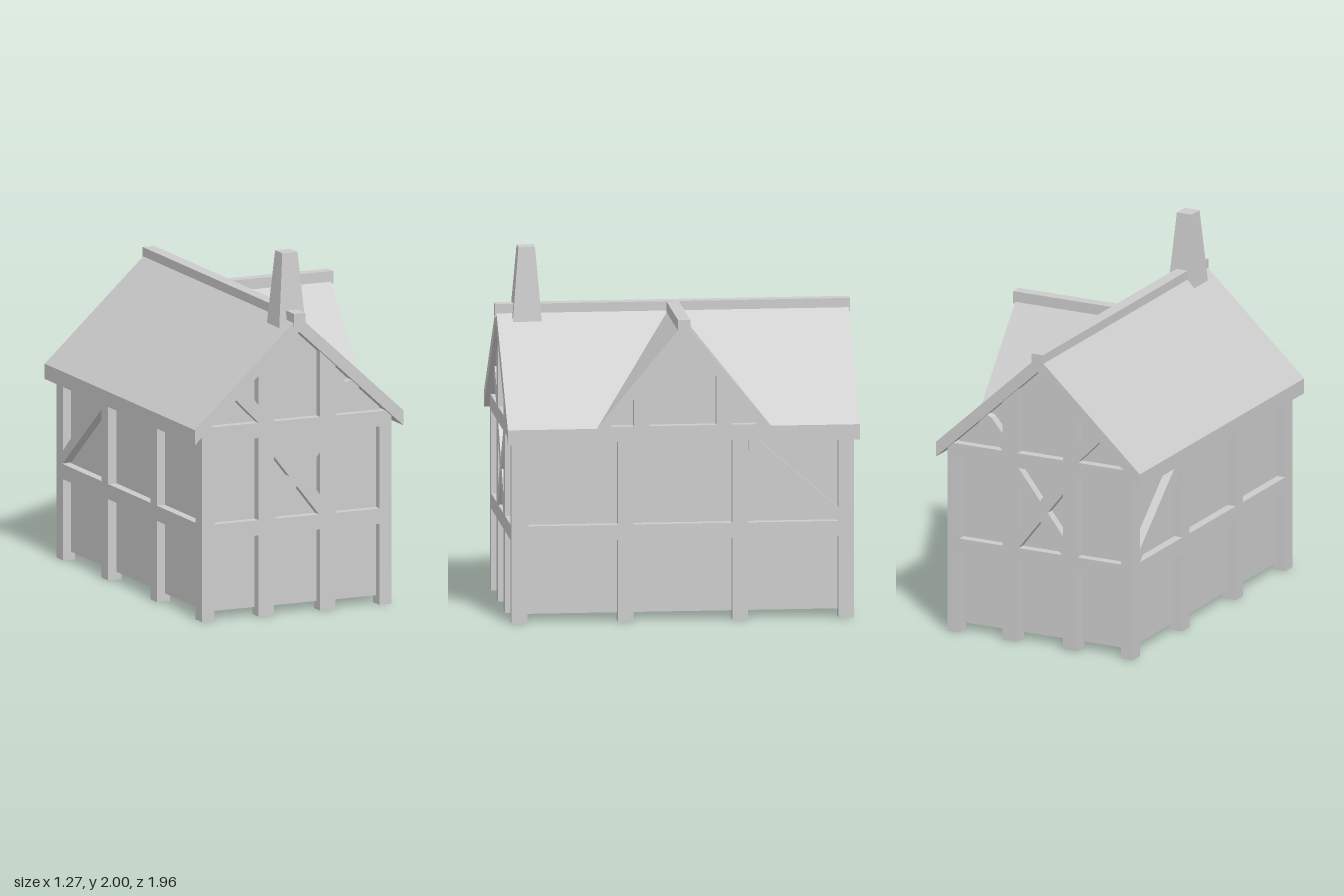
import * as THREE from 'three';

const material = new THREE.MeshStandardMaterial({ color: 0xcccccc, flatShading: true });

// Main dimensions
const HALF_W = 0.573, HALF_L = 0.943;            // outer faces of the timber frame
const INSET = 0.05, TIMBER = 0.08;               // panel recess and timber depth
const EAVE = 0.63, ROOF_L = 0.97, ROOF_T = 0.085;
const APEX = 1.58, DORMER_Z = 0.48;              // underside of the ridge, dormer half width
const SLOPE = 0.58 / EAVE, DORMER_SLOPE = 0.58 / DORMER_Z;
const RAILS = [[0.455, 0.54], [1.0, 1.085]];

function add(parent, name, geometry, x = 0, y = 0, z = 0) {
  const mesh = new THREE.Mesh(geometry, material);
  mesh.name = name;
  mesh.position.set(x, y, z);
  parent.add(mesh);
  return mesh;
}

function extrude(points, depth) {
  const shape = new THREE.Shape(points.map(([x, y]) => new THREE.Vector2(x, y)));
  return new THREE.ExtrudeGeometry(shape, { depth, bevelEnabled: false });
}

const mirror = (points, s) => points.map(([x, y]) => [x * s, y]);
const rect = (x0, x1, y0, y1) => [[x0, y0], [x1, y0], [x1, y1], [x0, y1]];

// A timber drawn flat in a wall plane, its outer face at local z = 0
const timber = (wall, name, points) => add(wall, name, extrude(points, TIMBER), 0, 0, -TIMBER);

// Rails fitted between the posts of a wall
function addRails(wall, spans) {
  for (const [y0, y1] of RAILS)
    for (const [a, b] of spans) timber(wall, 'rail', rect(a, b, y0, y1));
}

// Roof slab: plan outline (x, z) given vertical thickness, then sloped by a rule
function roofSlab(plan, drop) {
  const g = extrude(plan.map(([x, z]) => [x, -z]), ROOF_T).rotateX(-Math.PI / 2);
  const p = g.attributes.position;
  for (let i = 0; i < p.count; i++)
    p.setY(i, p.getY(i) + APEX - drop(p.getX(i), p.getZ(i)));
  g.computeVertexNormals();
  return g;
}

function gableWall() {
  const wall = new THREE.Group();
  wall.name = 'gableFrame';
  addRails(wall, [[-0.5, -0.232], [-0.14, 0.14], [0.232, 0.5]]);
  for (const s of [-1, 1]) {
    timber(wall, 'gablePost', mirror([[0.14, 0], [0.232, 0],
      [0.232, APEX + 0.01 - SLOPE * 0.232], [0.14, APEX + 0.01 - SLOPE * 0.14]], s));
    timber(wall, 'gableBrace', mirror([[0.232, 1.085], [0.38, 1.235], [0.33, 1.28],
      [0.30, 1.265], [0.232, 1.185]], s));
    timber(wall, 'crossBrace', mirror([[-0.14, 1], [-0.133, 1], [0.14, 0.651],
      [0.14, 0.54], [0.133, 0.54], [-0.14, 0.889]], s));
  }
  return wall;
}

// back is the local direction (+1 or -1) that leads to the rear corner
function sideWall(back) {
  const wall = new THREE.Group();
  wall.name = 'sideFrame';
  addRails(wall, [[-0.857, -0.357], [-0.272, 0.272], [0.357, 0.857]]);
  for (const s of [-1, 1]) timber(wall, 'sidePost', rect(s * 0.272, s * 0.357, 0, 1.085));
  timber(wall, 'sideBrace', mirror([[0.36, 1], [0.41, 1], [0.857, 0.615],
    [0.857, 0.545], [0.36, 0.94]], back));
  return wall;
}

export function createModel() {
  const model = new THREE.Group();
  model.name = 'timberFramedHouse';
  const house = new THREE.Group();
  house.name = 'house';
  house.position.x = -0.011;
  model.add(house);

  // Recessed wall panels with pointed gables
  const bw = HALF_W - INSET, bl = HALF_L - INSET;
  const shoulder = APEX + 0.02 - SLOPE * bw;
  add(house, 'wallPanels', extrude([[-bw, 0.045], [bw, 0.045], [bw, shoulder],
    [0, APEX + 0.02], [-bw, shoulder]], bl * 2), 0, 0, -bl);

  // Corner posts
  for (const sx of [-1, 1])
    for (const sz of [-1, 1])
      add(house, 'cornerPost', new THREE.BoxGeometry(0.073, 1.085, 0.086),
        sx * (HALF_W - 0.0365), 0.5425, sz * (HALF_L - 0.043));

  // Front and back frames
  for (const s of [1, -1]) {
    const gable = gableWall();
    gable.position.z = s * HALF_L;
    if (s < 0) gable.rotation.y = Math.PI;
    house.add(gable);
  }

  // Side frames
  for (const s of [1, -1]) {
    const side = sideWall(s);
    side.position.x = s * HALF_W;
    side.rotation.y = s * Math.PI / 2;
    house.add(side);
    // Dormer wall posts stand on the left side only
    if (s > 0)
      for (const m of [-1, 1])
        timber(side, 'dormerPost', mirror([[0.185, 1.085], [0.27, 1.085],
          [0.27, APEX + 0.01 - DORMER_SLOPE * 0.27],
          [0.185, APEX + 0.01 - DORMER_SLOPE * 0.185]], m));
  }

  // Dormer gable panel
  add(house, 'dormerPanel', extrude([[-DORMER_Z, 1.02], [DORMER_Z, 1.02],
    [0, APEX + 0.02]], bw).rotateY(Math.PI / 2));

  // Main roof: whole slope on one side, slope notched for the dormer on the other
  const mainDrop = (x) => SLOPE * Math.abs(x);
  add(house, 'roofSlope', roofSlab([[-EAVE, -ROOF_L], [0, -ROOF_L], [0, ROOF_L],
    [-EAVE, ROOF_L]], mainDrop));
  const dormerDrop = (x, z) => DORMER_SLOPE * Math.abs(z);
  for (const s of [-1, 1]) {
    add(house, 'notchedRoofSlope', roofSlab([[0, 0], [EAVE, s * DORMER_Z],
      [EAVE, s * ROOF_L], [0, s * ROOF_L]], mainDrop));
    add(house, 'dormerRoofSlope', roofSlab([[0, 0], [EAVE, s * DORMER_Z], [EAVE, 0]], dormerDrop));
  }

  // Ridge beams
  add(house, 'ridgeBeam', new THREE.BoxGeometry(0.07, 0.072, 1.955), 0, 1.648, 0);
  add(house, 'dormerRidgeBeam', new THREE.BoxGeometry(0.645, 0.07, 0.068), 0.3225, 1.648, 0);

  // Tapered square chimney
  add(house, 'chimney', new THREE.CylinderGeometry(0.046 * Math.SQRT2, 0.08 * Math.SQRT2, 0.41, 4)
    .rotateY(Math.PI / 4), 0, 1.795, 0.805);

  return model;
}
